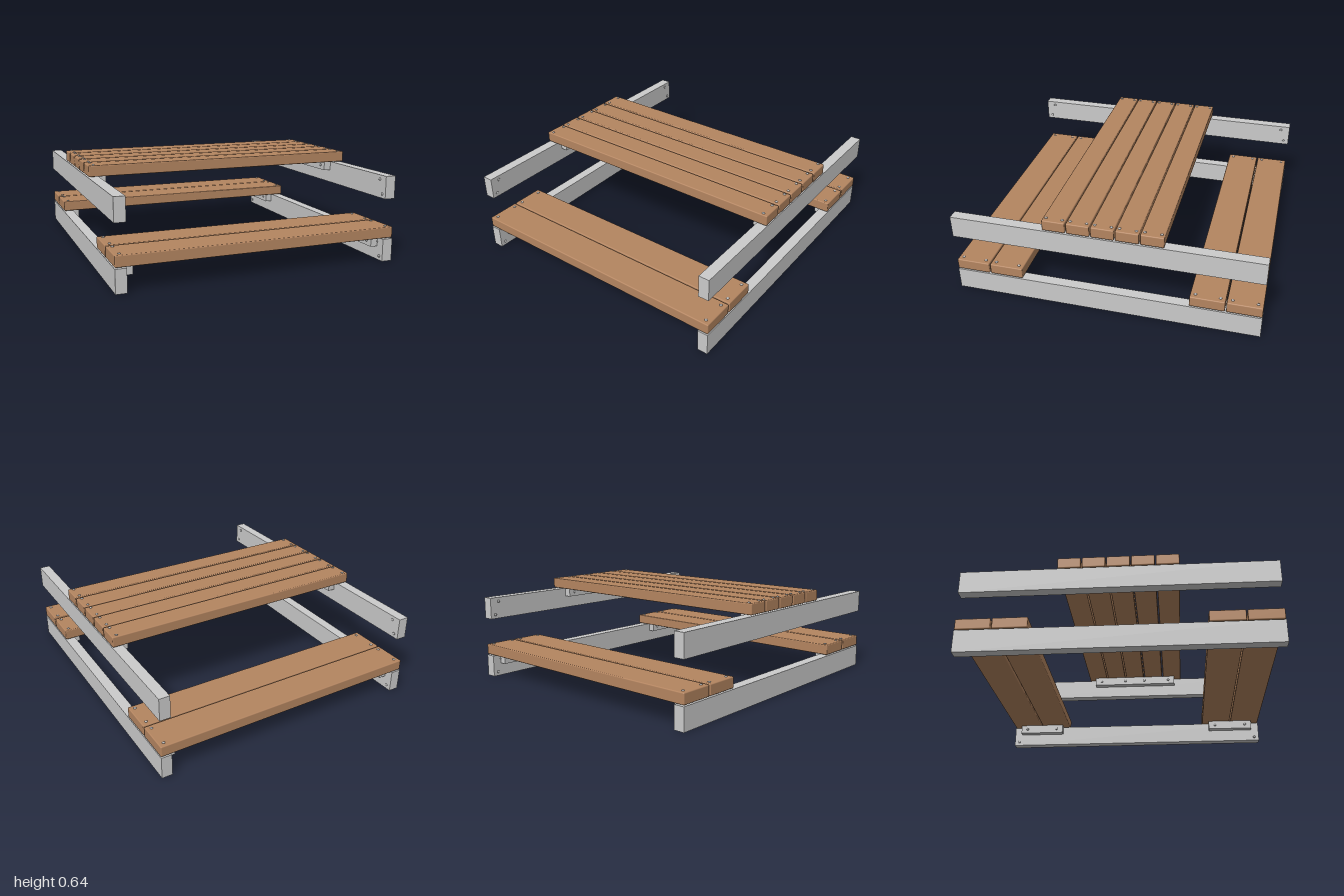
import * as THREE from 'three';
import { RoundedBoxGeometry } from 'three/addons/geometries/RoundedBoxGeometry.js';

export function createModel() {
  const model = new THREE.Group();
  model.name = 'picnicTable';
  const wood = new THREE.MeshStandardMaterial({ name: 'brown wood', color: 0xb48560 });
  const steel = new THREE.MeshStandardMaterial({ name: 'light grey steel', color: 0xcbcbcb });
  const boltMat = new THREE.MeshStandardMaterial({ name: 'bolt grey', color: 0xb4b4b4 });

  function add(parent, name, geometry, material, x, y, z) {
    const mesh = new THREE.Mesh(geometry, material);
    mesh.name = name;
    mesh.position.set(x, y, z);
    parent.add(mesh);
    return mesh;
  }

  // Low domed bolt heads, facing up or inwards from a rail
  const dome = new THREE.SphereGeometry(0.01, 10, 4, 0, Math.PI * 2, 0, Math.PI / 2);
  dome.scale(1, 0.7, 1);
  const topBolt = (parent, x, y, z) => add(parent, 'plankBolt', dome, boltMat, x, y, z);
  function sideBolt(parent, side, x, y, z) {
    add(parent, 'railBolt', dome, boltMat, side * x, y, z).rotation.z = side * Math.PI / 2;
  }

  // Plank with softened edges and a pair of bolts at each end
  function plank(name, width, y, z, boltOffset) {
    const group = new THREE.Group();
    group.name = name;
    add(group, 'board', new RoundedBoxGeometry(1.84, 0.072, width, 2, 0.007), wood, 0, y + 0.036, z);
    for (const x of [-0.885, 0.885])
      for (const s of [-1, 1]) topBolt(group, x, y + 0.071, z + s * boltOffset);
    model.add(group);
  }

  // Tabletop and the two benches
  for (let i = -2; i <= 2; i++) plank('tablePlank', 0.147, 0.566, i * 0.155, 0.052);
  for (const s of [-1, 1]) {
    plank('innerSeatPlank', 0.222, 0.154, s * 0.658, 0.078);
    plank('outerSeatPlank', 0.222, 0.154, s * 0.888, 0.078);
  }

  // Rails, with cleats on their inner faces below the planks
  const railGeometry = new THREE.BoxGeometry(0.07, 0.148, 2);
  function rail(name, side, base, cleats) {
    const group = new THREE.Group();
    group.name = name;
    add(group, 'beam', railGeometry, steel, side * 0.885, base + 0.076, 0);
    for (const s of [-1, 1]) {
      sideBolt(group, side, 0.85, base + 0.122, s * 0.935);
      sideBolt(group, side, 0.85, base + 0.03, s * 0.965);
    }
    for (const { z, length, bolts } of cleats) {
      add(group, 'cleat', new THREE.BoxGeometry(0.05, 0.064, length), steel, side * 0.825, base + 0.122, z);
      for (const b of bolts) sideBolt(group, side, 0.8, base + 0.122, z + b);
    }
    model.add(group);
  }
  for (const side of [-1, 1]) {
    rail('tableRail', side, 0.41, [{ z: 0, length: 0.66, bolts: [-0.28, -0.08, 0.08, 0.28] }]);
    rail('seatRail', side, -0.002, [-1, 1].map((s) => ({ z: s * 0.77, length: 0.34, bolts: [-0.12, 0.12] })));
  }
  model.position.y = 0;
  return model;
}
